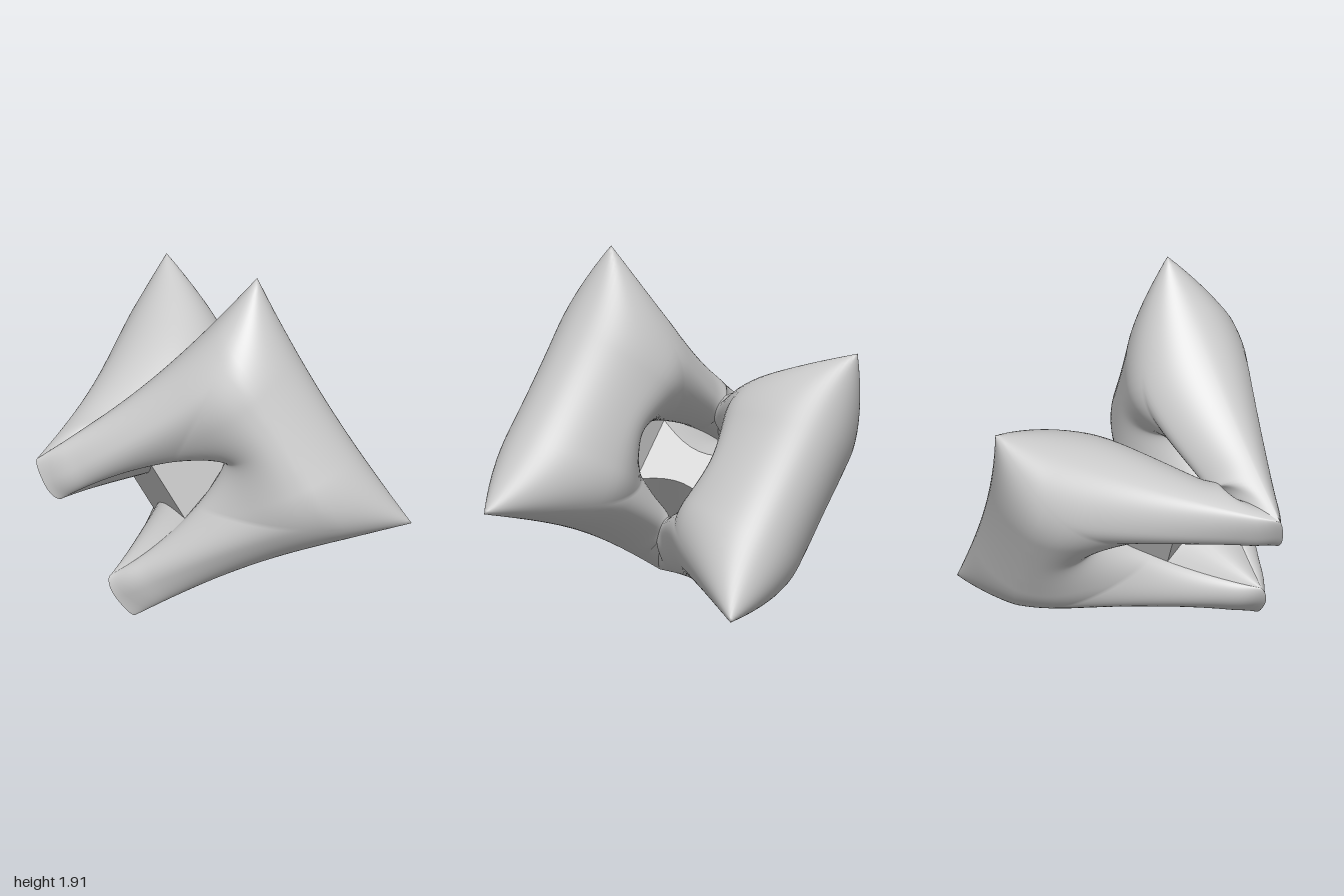
import * as THREE from 'three';

// Frame of the fold: U and D lie across and along the shared edge, Z is depth
const U = new THREE.Vector3(0.847, 0.531, 0);
const D = new THREE.Vector3(0.531, -0.847, 0);
const ORIGIN = new THREE.Vector3(-0.715, 0.435, 0.71);
const inUZ = (u, z) => U.clone().multiplyScalar(u).add(new THREE.Vector3(0, 0, z));
const BISECTOR = inUZ(0.76, -0.65).normalize();
const FRONT = inUZ(1.51, -0.34), BACK = inUZ(0.58, -1.48);
const smooth = THREE.MathUtils.smoothstep;

// Outline of a panel: t runs from the fold (0) to the far edge (1), s along the fold
const farEdge = (s) => 1 - 0.03 * (1 - (s / 0.8) ** 2);
const sideEdge = (t) => 0.51 + 0.29 * t - 0.07 * Math.sin(Math.PI * t);

function outerEdge(f) {
  const g = Math.abs(f);
  if (g <= 0.5) return [farEdge(1.6 * f), 1.6 * f];
  const t = 2 * (1 - g);
  return [t, Math.sign(f) * sideEdge(t)];
}

// Pointed notch that opens towards the fold
function notchEdge(f) {
  const a = Math.abs(f) * Math.PI / 2;
  return [0.56 * Math.cos(a), Math.sign(f) * 0.25 * Math.pow(Math.sin(a), 1.7)];
}

const onPanel = (out, t, s) => ORIGIN.clone().addScaledVector(out, t).addScaledVector(D, s);

// Quarter-round rise from an edge, flat once x reaches 1
const rise = (x) => Math.sqrt(1 - (1 - THREE.MathUtils.clamp(x, 0, 1)) ** 2);

function makeMesh(name, points, index, material) {
  const geometry = new THREE.BufferGeometry().setFromPoints(points);
  geometry.setIndex(index);
  geometry.computeVertexNormals();
  const mesh = new THREE.Mesh(geometry, material);
  mesh.name = name;
  return mesh;
}

// One inflated C-shaped panel, swept from fold to fold around the notch
function panel(name, out, inward, flip, material) {
  const rows = 144, cols = 64, points = [], index = [];
  for (let i = 0; i <= rows; i++) {
    const f = -1 + 2 * i / rows;
    const [ot, os] = outerEdge(f), [nt, ns] = notchEdge(f);
    for (let j = 0; j < cols; j++) {
      const a = j / cols * Math.PI * 2, c = (1 + Math.cos(a)) / 2, side = Math.sin(a);
      const t = nt + (ot - nt) * c, s = ns + (os - ns) * c;
      // pillow height falls to zero at the far edge, the sides and the notch
      const profile = rise((1 - t / farEdge(s)) / 0.4)
        * rise((1 - Math.abs(s) / sideEdge(t)) / 0.6)
        * rise(c / 0.5);
      // the inner face keeps a fuller crease at the fold than the outer face
      const inner = side > 0;
      const blend = smooth(t, 0, inner ? 0.3 : 0.12);
      const lift = inner
        ? profile * (0.2 + 0.18 * smooth(t, 0, 0.7)) + 0.14 * (1 - blend) * side
        : -profile * Math.min(0.37, 0.05 + 0.4 * t);
      const normal = BISECTOR.clone().lerp(inward, blend).normalize();
      points.push(onPanel(out, t, s).addScaledVector(normal, lift));
    }
  }
  for (let i = 0; i < rows; i++) {
    for (let j = 0; j < cols; j++) {
      const n = (j + 1) % cols;
      const a = i * cols + j, b = a + cols, c = i * cols + n, d = c + cols;
      if (flip) index.push(a, c, b, b, c, d);
      else index.push(a, b, c, b, d, c);
    }
  }
  return makeMesh(name, points, index, material);
}

// Sheet drawn through a list of equally long rows of points
function sheet(name, rows, material) {
  const n = rows[0].length, index = [];
  for (let i = 0; i < rows.length - 1; i++) {
    for (let j = 0; j < n - 1; j++) {
      const a = i * n + j;
      index.push(a, a + n, a + 1, a + 1, a + n, a + n + 1);
    }
  }
  return makeMesh(name, rows.flat(), index, material);
}

// Point between the two notch rims, drawn in towards the middle
const WEB = 0.6, STEPS = 10;
function betweenRims(f, v) {
  const [t, s] = notchEdge(f);
  const pinch = 1 - 0.45 * Math.sin(Math.PI * v) * t / notchEdge(WEB)[0];
  return onPanel(FRONT.clone().lerp(BACK, v), t, s * pinch);
}

// Flat tips closing both notches, with a bridge between them
function innerWeb(material) {
  const tip = (v) => [0, 0.2, 0.4].map((f) => [betweenRims(-f, v), betweenRims(f, v)]);
  const rows = tip(0);
  for (let i = 0; i <= STEPS; i++) {
    rows.push([betweenRims(-WEB, i / STEPS), betweenRims(WEB, i / STEPS)]);
  }
  rows.push(...tip(1).reverse());
  return sheet('innerWeb', rows, material);
}

// Side wall of the inner pocket, from the bridge back to the fold
function pocketWall(name, sign, material) {
  const rows = [];
  for (let i = 0; i <= STEPS; i++) {
    const f = sign * (WEB + (1 - WEB) * i / STEPS);
    rows.push(Array.from({ length: STEPS + 1 }, (_, j) => betweenRims(f, j / STEPS)));
  }
  return sheet(name, rows, material);
}

export function createModel() {
  const group = new THREE.Group();
  group.name = 'foldedInflatedFrame';
  const look = { color: 0xcccccc, side: THREE.DoubleSide };
  const soft = new THREE.MeshStandardMaterial(look);
  const flat = new THREE.MeshStandardMaterial({ ...look, flatShading: true });
  group.add(
    panel('frontPanel', FRONT, inUZ(-0.22, -0.975), false, soft),
    panel('backPanel', BACK, inUZ(0.93, 0.365), true, soft),
    innerWeb(flat),
    pocketWall('upperPocketWall', -1, soft),
    pocketWall('lowerPocketWall', 1, soft)
  );
  return group;
}
